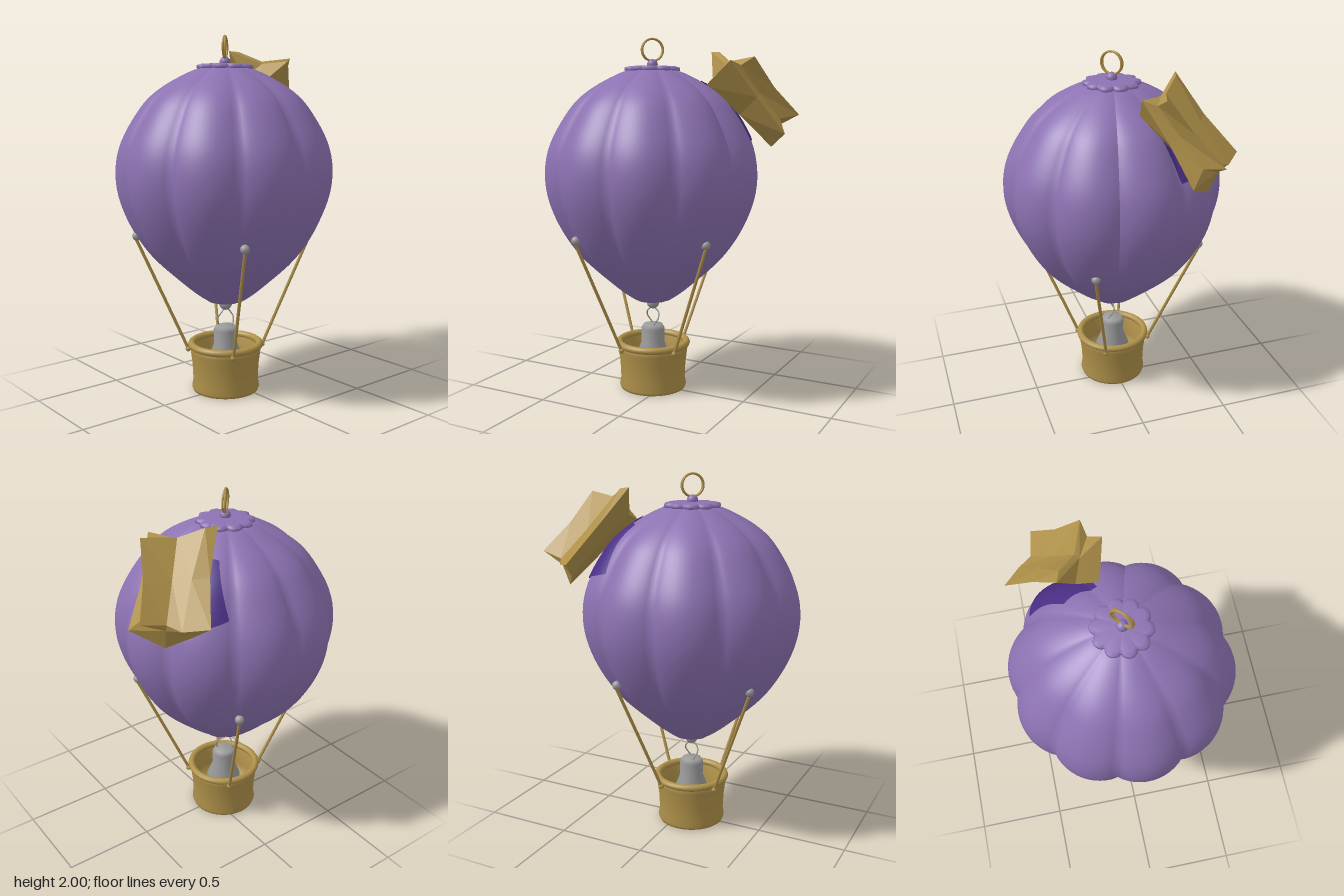
import * as THREE from 'three';

const CX = -0.07;      // axis of balloon and basket
const LOBES = 10;
const SEAM = 0.24;     // angle of the first groove, from +x toward +z

const mat = (name, color, side = THREE.FrontSide) => {
  const m = new THREE.MeshStandardMaterial({ color, side });
  m.name = name;
  return m;
};

// balloon profile: radius, height
const PROFILE = new THREE.SplineCurve([
  [0.001, 0.535], [0.075, 0.52], [0.12, 0.535], [0.23, 0.62], [0.42, 0.8], [0.545, 1.0],
  [0.602, 1.2], [0.58, 1.4], [0.47, 1.6], [0.36, 1.71], [0.2, 1.8], [0.1, 1.83], [0.001, 1.835],
].map(([r, y]) => new THREE.Vector2(r, y))).getPoints(64);

const lobe = (a, depth) => 1 - depth + depth * Math.pow(Math.abs(Math.sin((a - SEAM) * LOBES / 2)), 0.8);

function radiusAt(y) {
  for (let i = 8; i < PROFILE.length - 1; i++) {
    const p = PROFILE[i], q = PROFILE[i + 1];
    if (p.y <= y && q.y >= y) return p.x + (q.x - p.x) * (y - p.y) / (q.y - p.y);
  }
  return 0.1;
}

// lathe whose radius swells between the seams
function lobedLathe(points, depth) {
  const g = new THREE.LatheGeometry(points, LOBES * 12, Math.PI / 2 - SEAM);
  const p = g.attributes.position;
  for (let i = 0; i < p.count; i++) {
    const k = lobe(Math.atan2(p.getZ(i), p.getX(i)), depth);
    p.setX(i, p.getX(i) * k);
    p.setZ(i, p.getZ(i) * k);
  }
  g.computeVertexNormals();
  return g;
}

const lathe = (pts, seg = 40) => new THREE.LatheGeometry(pts.map(([r, y]) => new THREE.Vector2(r, y)), seg);

const tube = (pts, r, seg = 12) => new THREE.TubeGeometry(
  new THREE.CatmullRomCurve3(pts.map(p => new THREE.Vector3(...p))), seg, r, 7);

// skin between rings of points, with fan caps at both ends
function loft(rings) {
  const n = rings[0].length, pos = [], idx = [];
  rings.forEach(r => r.forEach(p => pos.push(...p)));
  for (let k = 0; k < rings.length - 1; k++) {
    for (let i = 0; i < n; i++) {
      const a = k * n + i, b = k * n + (i + 1) % n;
      idx.push(a, a + n, b, b, a + n, b + n);
    }
  }
  [0, rings.length - 1].forEach(k => {
    const c = pos.length / 3;
    pos.push(...[0, 1, 2].map(j => rings[k].reduce((s, p) => s + p[j], 0) / n));
    for (let i = 0; i < n; i++) {
      const a = k * n + i, b = k * n + (i + 1) % n;
      k === 0 ? idx.push(c, a, b) : idx.push(c, b, a);
    }
  });
  const g = new THREE.BufferGeometry();
  g.setAttribute('position', new THREE.Float32BufferAttribute(pos, 3));
  g.setIndex(idx);
  const flat = g.toNonIndexed();
  flat.computeVertexNormals();
  return flat;
}

export function createModel() {
  const purple = mat('purple cloth', 0x8c72b2);
  const dark = mat('dark purple patch', 0x4a2f86, THREE.DoubleSide);
  const gold = mat('tan gold', 0xae9049, THREE.DoubleSide);
  const grey = mat('grey metal', 0x9a9a9a);

  const model = new THREE.Group();
  const craft = new THREE.Group();
  craft.name = 'balloonAndBasket';
  craft.position.x = CX;
  model.add(craft);
  const add = (name, geo, material, pos = [0, 0, 0], parent = craft) => {
    const m = new THREE.Mesh(geo, material);
    m.name = name;
    m.position.set(...pos);
    parent.add(m);
    return m;
  };

  // envelope and scalloped crown
  add('envelope', lobedLathe(PROFILE, 0.07), purple);
  const crown = [[0.14, 1.815], [0.157, 1.822], [0.155, 1.838], [0.13, 1.845], [0.06, 1.846], [0.001, 1.85]]
    .map(([r, y]) => new THREE.Vector2(r, y));
  add('crown', lobedLathe(crown, 0.16), purple);
  add('crownKnob', new THREE.SphereGeometry(0.03, 16, 10), purple, [0, 1.855, 0]);

  // hanging ring, wound twice
  [0.68, 0.9].forEach(a => {
    add('hangingRing', new THREE.TorusGeometry(0.06, 0.006, 8, 36), gold, [0, 1.934, 0]).rotation.y = a;
  });

  // dark patch lying on the envelope under the folded cloth: angle, height
  const corners = [[-0.26, 1.765], [-0.84, 1.735], [-0.4, 1.42], [-0.97, 1.5]];
  const patch = new THREE.PlaneGeometry(1, 1, 24, 24);
  const pp = patch.attributes.position;
  for (let i = 0; i < pp.count; i++) {
    const u = pp.getX(i) + 0.5, v = 0.5 - pp.getY(i);
    const mix = j => (corners[0][j] * (1 - u) + corners[1][j] * u) * (1 - v)
      + (corners[2][j] * (1 - u) + corners[3][j] * u) * v;
    const a = mix(0), y = mix(1), r = radiusAt(y) * lobe(a, 0.07) + 0.007;
    pp.setXYZ(i, r * Math.cos(a), y + 0.003, r * Math.sin(a));
  }
  patch.computeVertexNormals();
  add('patch', patch, dark);

  // folded cloth: creased section swept from the upper end to the lower end
  const upper = [[0.17, 1.93, -0.26], [0.23, 1.925, -0.24], [0.33, 1.87, -0.15], [0.5, 1.89, -0.09],
    [0.43, 1.845, -0.07], [0.4, 1.87, 0], [0.23, 1.735, -0.05], [0.22, 1.78, -0.17]];
  const lower = [[0.4, 1.55, -0.52], [0.5, 1.53, -0.43], [0.54, 1.55, -0.36], [0.67, 1.58, -0.335],
    [0.59, 1.56, -0.25], [0.645, 1.48, -0.18], [0.52, 1.4, -0.31], [0.44, 1.47, -0.41]];
  const middle = upper.map((p, i) => p.map((c, j) =>
    0.9 * (c + lower[i][j]) / 2 + 0.1 * [0.41, 1.68, -0.22][j]));
  add('foldedCloth', loft([upper, middle, lower]), gold, [0, 0, 0], model);

  // basket with rolled rim
  add('basket', lathe([[0.001, 0.02], [0.165, 0.02], [0.175, 0.003], [0.187, 0.003], [0.193, 0.02],
    [0.186, 0.06], [0.19, 0.15], [0.2, 0.23], [0.205, 0.27], [0.18, 0.27], [0.17, 0.15],
    [0.16, 0.05], [0.001, 0.05]], 48), gold);
  const rim = add('basketRim', new THREE.TorusGeometry(0.195, 0.02, 10, 48), gold, [0, 0.268, 0]);
  rim.rotation.x = Math.PI / 2;

  // burner, wire loop and ball
  add('burner', lathe([[0.11, 0.05], [0.1, 0.18], [0.066, 0.27], [0.068, 0.35],
    [0.055, 0.373], [0.001, 0.378]], 28), grey);
  [1, -1].forEach(s => add('burnerWire', tube([[s * 0.02, 0.37, s * 0.035], [s * 0.045, 0.42, s * 0.015],
    [s * 0.035, 0.45, 0], [s * 0.008, 0.475, 0]], 0.004), grey));
  add('valveBall', new THREE.SphereGeometry(0.037, 18, 12), grey, [0, 0.503, 0]);

  // four ropes with rivets above and knots below
  for (let i = 0; i < 4; i++) {
    const a = 0.48 + i * Math.PI / 2, c = Math.cos(a), s = Math.sin(a);
    const at = (r, y) => [r * c, y, r * s];
    add('rope', tube([at(0.507, 0.91), at(0.363, 0.585), at(0.218, 0.255)], 0.009), gold);
    add('rivet', new THREE.SphereGeometry(0.025, 14, 10), grey, at(0.497, 0.912));
    add('ropeKnot', new THREE.SphereGeometry(0.016, 10, 8), gold, at(0.216, 0.25));
  }
  return model;
}
